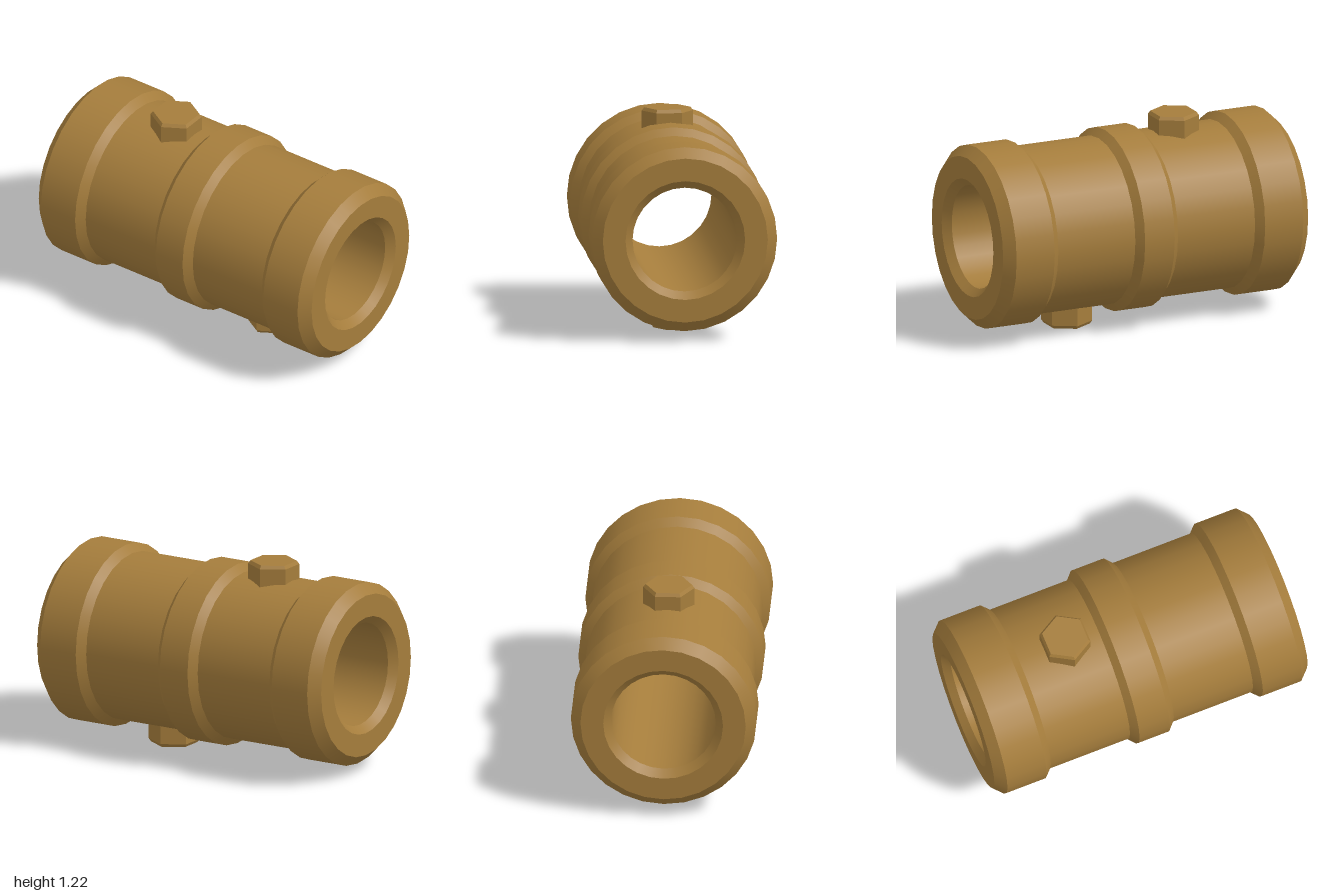
import * as THREE from 'three';
import { mergeGeometries } from 'three/addons/utils/BufferGeometryUtils.js';

const CENTRE_Y = 0.6085;

// Revolve a profile of [radius, height], smooth around the axis but sharp at every ring
function turned(profile, sides) {
  const bands = [];
  for (let i = 0; i < profile.length - 1; i++) {
    const pair = [profile[i], profile[i + 1]].map(([r, h]) => new THREE.Vector2(r, h));
    bands.push(new THREE.LatheGeometry(pair, sides));
  }
  return mergeGeometries(bands);
}

export function createModel() {
  const group = new THREE.Group();
  const brass = new THREE.MeshStandardMaterial({ color: 0xa57d3c });
  brass.name = 'brass';

  // Hollow sleeve: one half of the outer profile, mirrored, closed by the chamfered bore
  const half = [[0.55, 0.097], [0.505, 0.14], [0.505, 0.645], [0.55, 0.69], [0.55, 0.94], [0.49, 1], [0.355, 1], [0.31, 0.955]];
  const mirrored = half.map(([r, h]) => [r, -h]).reverse();
  const profile = [...mirrored, ...half, mirrored[0]];
  const sleeve = new THREE.Mesh(turned(profile, 28), brass);
  sleeve.name = 'sleeve';
  sleeve.geometry.rotateX(Math.PI / 2);
  sleeve.position.y = CENTRE_Y;
  group.add(sleeve);

  // Hexagonal plugs, one on top towards the back and one below towards the front
  const hexProfile = [[0.152, 0.44], [0.152, 0.589], [0.138, CENTRE_Y], [0, CENTRE_Y]]
    .map(([r, h]) => new THREE.Vector2(r, h));
  const hex = new THREE.LatheGeometry(hexProfile, 6, Math.PI / 2).toNonIndexed();
  hex.computeVertexNormals();
  for (const [name, turn, z] of [['topPlug', 0, -0.35], ['bottomPlug', Math.PI, 0.35]]) {
    const plug = new THREE.Mesh(hex, brass);
    plug.name = name;
    plug.rotation.z = turn;
    plug.position.set(0, CENTRE_Y, z);
    group.add(plug);
  }

  return group;
}
